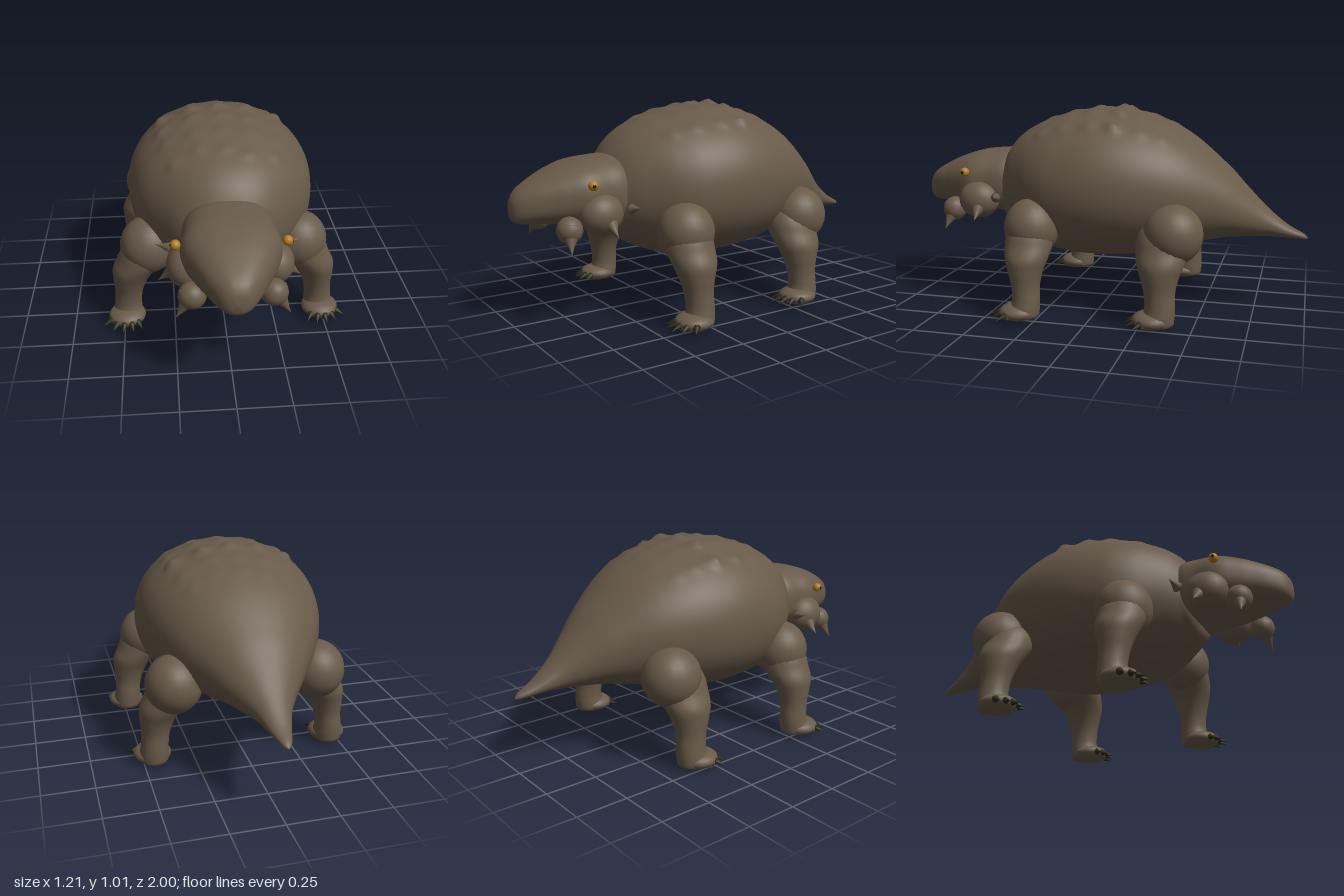
import * as THREE from 'three';

const mat = (name, color) => Object.assign(new THREE.MeshStandardMaterial({ color }), { name });
const V = (x, y, z) => new THREE.Vector3(x, y, z);
const UP = V(0, 1, 0);

// Closed skin over a list of rings with equal point counts
function loft(rings) {
  const n = rings[0].length, pos = [], idx = [];
  rings.forEach(r => r.forEach(p => pos.push(p.x, p.y, p.z)));
  for (let i = 0; i < rings.length - 1; i++) for (let j = 0; j < n; j++) {
    const a = i * n + j, b = i * n + (j + 1) % n;
    idx.push(a, a + n, b, b, a + n, b + n);
  }
  const g = new THREE.BufferGeometry();
  g.setAttribute('position', new THREE.Float32BufferAttribute(pos, 3));
  g.setIndex(idx);
  g.computeVertexNormals();
  return g;
}

// Smooth interpolation of station rows by their first column
function sample(rows, v) {
  let i = 0;
  while (i < rows.length - 2 && v > rows[i + 1][0]) i++;
  const at = k => rows[Math.min(rows.length - 1, Math.max(0, k))];
  const [p, a, b, q] = [at(i - 1), at(i), at(i + 1), at(i + 2)];
  const h = b[0] - a[0], t = THREE.MathUtils.clamp((v - a[0]) / h, 0, 1);
  return a.map((_, c) => {
    const m0 = (b[c] - p[c]) / (b[0] - p[0]) * h, m1 = (q[c] - a[c]) / (q[0] - a[0]) * h;
    return (2 * t ** 3 - 3 * t * t + 1) * a[c] + (t ** 3 - 2 * t * t + t) * m0
      + (3 * t * t - 2 * t ** 3) * b[c] + (t ** 3 - t * t) * m1;
  });
}

// Stations: z, top, bottom, half width
const BODY = [
  [-1, 0.366, 0.365, 0.0005], [-0.985, 0.384, 0.36, 0.018], [-0.9, 0.43, 0.366, 0.048],
  [-0.8, 0.51, 0.368, 0.085], [-0.7, 0.61, 0.364, 0.148], [-0.6, 0.713, 0.356, 0.22],
  [-0.4, 0.873, 0.314, 0.351], [-0.2, 0.96, 0.262, 0.431], [0, 0.989, 0.242, 0.459],
  [0.2, 0.962, 0.251, 0.433], [0.32, 0.922, 0.281, 0.38], [0.42, 0.874, 0.328, 0.3],
  [0.5, 0.8, 0.38, 0.222], [0.55, 0.7, 0.43, 0.14], [0.57, 0.57, 0.569, 0.0005]];
const HEAD = [
  [0.4, 0.72, 0.42, 0.14], [0.5, 0.767, 0.43, 0.205], [0.6, 0.766, 0.448, 0.216],
  [0.7, 0.753, 0.46, 0.222], [0.8, 0.722, 0.468, 0.18], [0.85, 0.7, 0.472, 0.153], [0.9, 0.675, 0.476, 0.125],
  [0.945, 0.649, 0.479, 0.094], [0.972, 0.626, 0.484, 0.07], [0.987, 0.604, 0.495, 0.05],
  [0.996, 0.58, 0.514, 0.028], [1, 0.5455, 0.5445, 0.0005]];

// Leg stations: y, x, z, radius
const LEG = [[0.006, 0.484, 0.3, 0.0005], [0.01, 0.484, 0.3, 0.055], [0.045, 0.483, 0.3, 0.071],
  [0.1, 0.481, 0.293, 0.067], [0.17, 0.474, 0.297, 0.069], [0.24, 0.463, 0.3, 0.085],
  [0.3, 0.443, 0.3, 0.105], [0.36, 0.405, 0.3, 0.116], [0.42, 0.385, 0.3, 0.112],
  [0.47, 0.375, 0.3, 0.08], [0.5, 0.37, 0.3, 0.0005]];

// Point on a cross-section, angle measured from the top; power < 1 squares it off
function skin(rows, z, t, power) {
  const [, top, bottom, w] = sample(rows, z);
  const f = v => Math.sign(v) * Math.abs(v) ** power;
  return V(w * f(Math.sin(t)), (top + bottom) / 2 + (top - bottom) / 2 * f(Math.cos(t)), z);
}

// Bony bumps raised out of the back: position, height, spread
const BUMPS = [];
for (const [z, height, shift] of [[-0.3, 0.006, 0.1], [-0.2, 0.009, 0.08], [-0.08, 0.025, 0],
  [0.05, 0.013, 0.06], [0.18, 0.009, 0], [0.31, 0.009, 0.09]])
  for (const t of [-0.65, -0.29, 0, 0.29, 0.65])
    BUMPS.push([skin(BODY, z + shift * Math.sin(t * 9) * 0.4, t, 0.95), height, 0.034]);

function sections(rows, steps, sides, power, bumps) {
  const z0 = rows[0][0], z1 = rows[rows.length - 1][0];
  return Array.from({ length: steps + 1 }, (_, i) => {
    const u = i / steps, z = z0 + (z1 - z0) * (u * 0.4 + 0.6 * (1 - Math.cos(Math.PI * u)) / 2);
    return Array.from({ length: sides }, (_, j) => {
      const t = j / sides * Math.PI * 2, p = skin(rows, z, t, power);
      const lift = bumps.reduce((s, [c, h, r]) => s + h * Math.exp(-p.distanceToSquared(c) / (r * r)), 0);
      return p.add(V(Math.sin(t) * lift, Math.cos(t) * lift, 0));
    });
  });
}

export function createModel() {
  const hide = mat('hide', 0x685a49), claw = mat('claw', 0x2b2a1a);
  const amber = mat('amber', 0xb27c1c), dark = mat('pupil', 0x15110c);
  const model = new THREE.Group();
  model.name = 'armouredReptile';

  const add = (name, geo, material, parent = model) => {
    const m = new THREE.Mesh(geo, material);
    m.name = name;
    parent.add(m);
    return m;
  };
  const blob = (name, c, r, material = hide, parent = model) => {
    const m = add(name, new THREE.SphereGeometry(1, 24, 16), material, parent);
    m.position.copy(c);
    m.scale.copy(r);
  };
  // Thorn with a flared base
  const spike = (name, from, to, r, material = hide, parent = model) => {
    const d = to.clone().sub(from), len = d.length();
    const profile = [0, 0.2, 0.4, 0.6, 0.8, 1].map(u => new THREE.Vector2(r * (1 - u) ** 1.3, len * u));
    const m = add(name, new THREE.LatheGeometry([new THREE.Vector2(0, 0), ...profile], 16), material, parent);
    m.position.copy(from);
    m.quaternion.setFromUnitVectors(UP, d.normalize());
  };

  // Body with tail, and head
  add('bodyAndTail', loft(sections(BODY, 110, 120, 0.95, BUMPS)), hide);
  add('head', loft(sections(HEAD, 56, 56, 0.82, [])), hide);

  const CLAWS = [[0.41, 0.44], [0.455, 0.462], [0.507, 0.465], [0.557, 0.444], [0.606, 0.4]];

  for (const side of [1, -1]) {
    const sideName = side > 0 ? 'left' : 'right';
    for (const [end, dx, dz] of [['Front', 0, 0], ['Back', -0.035, -0.642]]) {
      const leg = new THREE.Group();
      leg.name = sideName + end + 'Leg';
      model.add(leg);
      const P = (x, y, z) => V(side * (x + dx), y, z + dz);
      const rear = end === 'Back';

      // Round shoulder or hip over a tapering limb
      blob('shoulder', P(rear ? 0.388 : 0.368, 0.43, rear ? 0.252 : 0.298),
        V(0.137, 0.142, rear ? 0.142 : 0.134), hide, leg);
      add('limb', loft(Array.from({ length: 37 }, (_, i) => {
        const [y, x, z, r] = sample(LEG, 0.5 - 0.494 * i / 36);
        return Array.from({ length: 24 }, (_, j) => {
          const t = j / 24 * Math.PI * 2;
          return P(x, y, z).add(V(Math.sin(t) * r, 0, Math.cos(t) * r * (rear ? 1.07 : 1)));
        });
      })), hide, leg);

      // Foot, toes and claws
      blob('foot', P(0.488, 0.043, 0.33), V(0.092, 0.043, 0.092), hide, leg);
      for (const [x, z] of CLAWS) {
        const d = V(x - 0.488, 0, z - 0.31).normalize();
        const at = (back, y) => P(x - d.x * back, y, z - d.z * back);
        blob('toe', at(0.064, 0.037), V(0.022, 0.022, 0.022), hide, leg);
        blob('clawBase', at(0.05, 0.037), V(0.015, 0.015, 0.017), claw, leg);
        spike('claw', at(0.053, 0.039), at(0, 0.024), 0.018, claw, leg);
      }
    }

    // Cheek and jaw lumps with thorns
    const P = (x, y, z) => V(side * x, y, z);
    blob(sideName + 'Cheek', P(0.2, 0.522, 0.642), V(0.087, 0.095, 0.105));
    spike(sideName + 'UpperCheekSpike', P(0.262, 0.545, 0.525), P(0.338, 0.558, 0.51), 0.026);
    spike(sideName + 'LowerCheekSpike', P(0.215, 0.52, 0.628), P(0.323, 0.435, 0.62), 0.072);
    blob(sideName + 'JawLump', P(0.178, 0.463, 0.79), V(0.063, 0.062, 0.06));
    spike(sideName + 'JawSpike', P(0.183, 0.465, 0.79), P(0.252, 0.365, 0.815), 0.059);

    // Eye
    blob(sideName + 'Eye', P(0.243, 0.665, 0.7), V(0.023, 0.023, 0.023), amber);
    blob(sideName + 'Pupil', P(0.262, 0.665, 0.703), V(0.005, 0.009, 0.009), dark);
  }
  return model;
}
